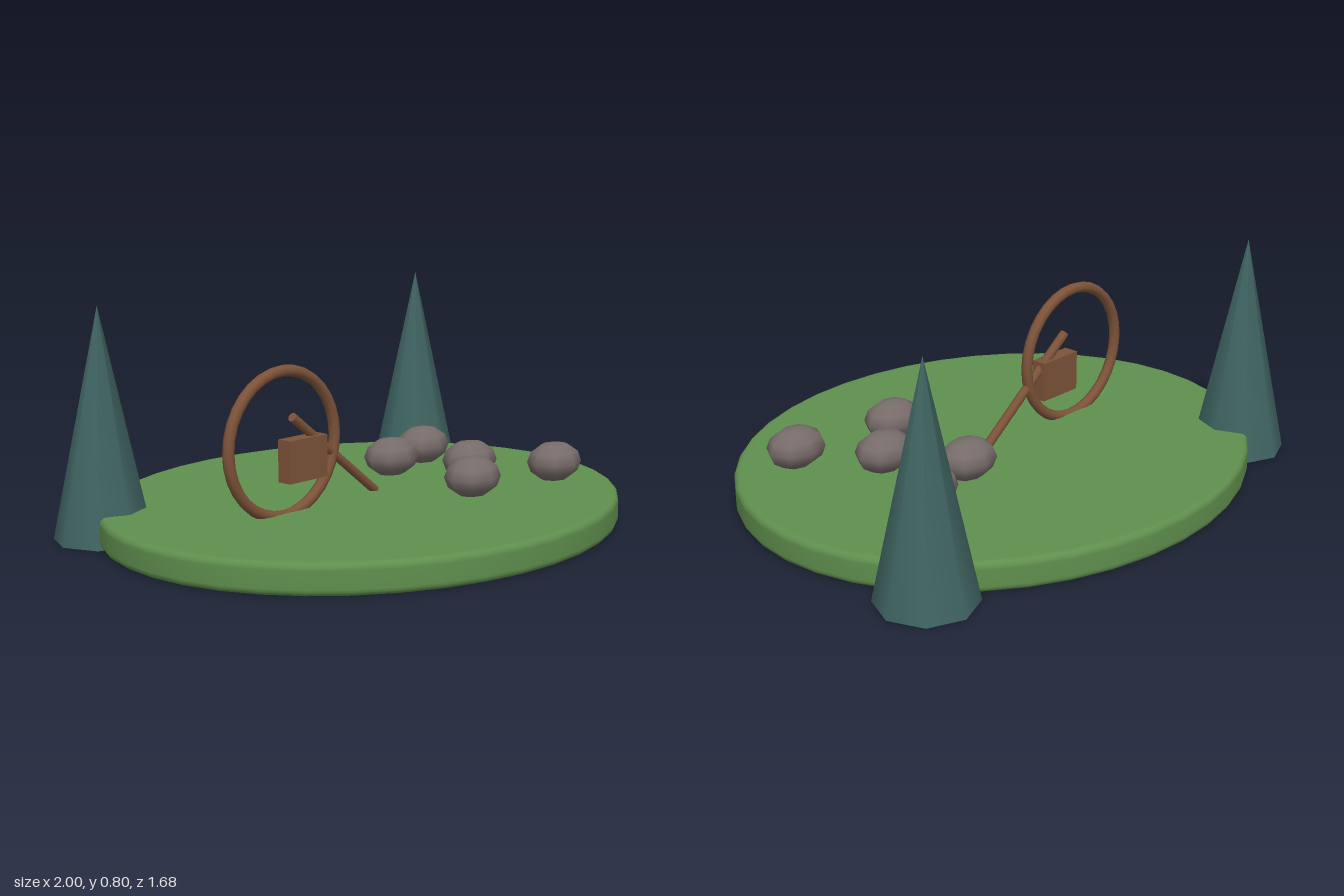
import * as THREE from 'three';

const mat = (name, color) => {
  const m = new THREE.MeshStandardMaterial({ color });
  m.name = name;
  return m;
};

export function createModel() {
  const grass = mat('grass green', 0x5f8f4e);
  const pine = mat('pine teal', 0x3f6461);
  const wood = mat('wood brown', 0x7d5339);
  const stone = mat('stone grey', 0x776c6a);

  const model = new THREE.Group();
  model.name = 'wheelAndStonesIsland';
  const add = (name, geometry, material, x, y, z) => {
    const mesh = new THREE.Mesh(geometry, material);
    mesh.name = name;
    mesh.position.set(x, y, z);
    model.add(mesh);
    return mesh;
  };

  // Oval ground slab with rounded rims
  const h = 0.107, b = 0.024;
  const profile = [[0, 0], [0.95, 0], [1 - b, 0]];
  for (let i = 1; i <= 4; i++) {
    const a = (i / 4) * Math.PI / 2;
    profile.push([1 - b + b * Math.sin(a), b - b * Math.cos(a)]);
  }
  for (let i = 0; i <= 4; i++) {
    const a = (i / 4) * Math.PI / 2;
    profile.push([1 - b + b * Math.cos(a), h - b + b * Math.sin(a)]);
  }
  profile.push([0.95, h], [0, h]);
  const slab = new THREE.LatheGeometry(profile.map(([x, y]) => new THREE.Vector2(x, y)), 40);
  add('groundSlab', slab, grass, -0.012, 0, 0).scale.set(0.988, 1, 0.842);

  // Conical trees at the back corners
  const cone = new THREE.ConeGeometry(0.17, 0.8, 8);
  add('rightTree', cone, pine, -0.786, 0.4, -0.5);
  add('leftTree', cone, pine, 0.829, 0.4, -0.5);

  // Upright wheel with its hub block
  add('wheelRim', new THREE.TorusGeometry(0.247, 0.02, 8, 32), wood, -0.414, 0.343, 0);
  add('hubBlock', new THREE.BoxGeometry(0.18, 0.147, 0.056), wood, -0.32, 0.28, 0);

  // Slanted pole from the hub down to the ground
  const top = new THREE.Vector3(-0.37, 0.428, 0);
  const foot = new THREE.Vector3(0.04, 0.108, 0);
  const dir = top.clone().sub(foot);
  const mid = top.clone().add(foot).multiplyScalar(0.5);
  add('pole', new THREE.CylinderGeometry(0.017, 0.017, dir.length(), 8), wood, mid.x, mid.y, mid.z)
    .quaternion.setFromUnitVectors(new THREE.Vector3(0, 1, 0), dir.normalize());

  // Scattered flattened stones
  const ball = new THREE.SphereGeometry(1, 8, 6);
  [[0.27, -0.127], [0.517, -0.187], [0.423, 0.123], [0.21, 0.31], [0.61, 0.37]].forEach(([x, z], i) => {
    add('stone' + (i + 1), ball, stone, x, 0.176, z).scale.set(0.113, 0.073, 0.09);
  });

  return model;
}
